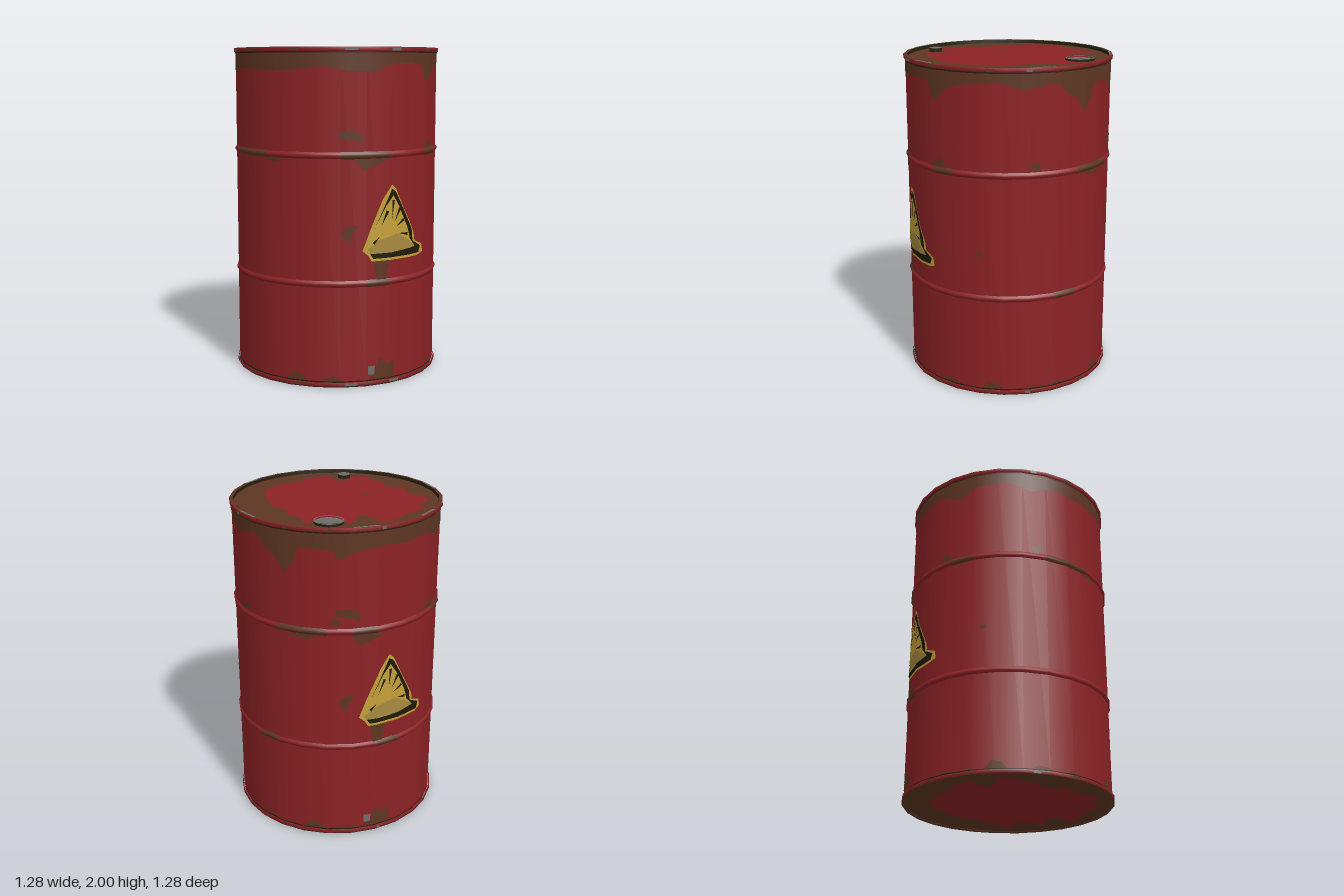
import * as THREE from 'three';

const SIDES = 26, STEP = (Math.PI * 2) / SIDES, PHI0 = THREE.MathUtils.degToRad(-3.1);
const R = 0.628;

const mat = (name, color, side = THREE.FrontSide) => {
  const m = new THREE.MeshStandardMaterial({ color, side });
  m.name = name;
  return m;
};

export function createModel() {
  const group = new THREE.Group();
  const red = mat('red paint', 0x8c2225);
  const rust = mat('rust', 0x5e3623);
  const dark = mat('dark grime', 0x26200d);
  const steel = mat('bare steel', 0x6e6c69);
  const yellow = mat('sign yellow', 0xc4a03a);
  const tan = mat('sign faded yellow', 0xa8893f);
  const black = mat('sign black', 0x1e190b);

  const add = (name, geo, material, x = 0, y = 0, z = 0) => {
    const m = new THREE.Mesh(geo, material);
    m.name = name;
    m.position.set(x, y, z);
    group.add(m);
    return m;
  };

  // Turned part; first and count choose a run of facets
  const turn = (name, profile, material, first = 0, count = SIDES) =>
    add(name, new THREE.LatheGeometry(profile.map(([r, y]) => new THREE.Vector2(r, y)),
      count, PHI0 + first * STEP, count * STEP), material);

  // Radius of the faceted wall at an angle
  const wall = (phi, r) => {
    const t = (((phi - PHI0) % STEP) + STEP) % STEP;
    return (r * Math.cos(STEP / 2)) / Math.cos(t - STEP / 2);
  };

  // Thin painted polygon wrapped on the wall, points are [degrees, y]
  const patch = (name, pts, material, lift = 0.002, r = R) => {
    const p = pts.map(([d, y]) => [THREE.MathUtils.degToRad(d), y]);
    const lo = Math.min(...p.map(q => q[0])), hi = Math.max(...p.map(q => q[0]));
    const cuts = p.map(q => q[0]);
    for (let k = Math.ceil((lo - PHI0) / STEP); PHI0 + k * STEP < hi; k++) cuts.push(PHI0 + k * STEP);
    cuts.sort((a, b) => a - b);
    const pos = [], nor = [], idx = [];
    const vert = (phi, y) => {
      const rr = wall(phi, r + lift);
      pos.push(rr * Math.sin(phi), y, rr * Math.cos(phi));
      nor.push(Math.sin(phi), 0, Math.cos(phi));
    };
    for (let i = 0; i + 1 < cuts.length; i++) {
      const a = cuts[i], b = cuts[i + 1];
      if (b - a < 1e-6) continue;
      const spans = [];
      p.forEach((s, j) => {
        const e = p[(j + 1) % p.length];
        if (Math.min(s[0], e[0]) > a + 1e-7 || Math.max(s[0], e[0]) < b - 1e-7) return;
        const at = u => s[1] + ((e[1] - s[1]) * (u - s[0])) / (e[0] - s[0]);
        spans.push([at(a), at(b)]);
      });
      spans.sort((s, t) => s[0] + s[1] - t[0] - t[1]);
      for (let k = 0; k + 1 < spans.length; k += 2) {
        const n = pos.length / 3, [l, u] = [spans[k], spans[k + 1]];
        vert(a, l[0]); vert(b, l[1]); vert(b, u[1]); vert(a, u[0]);
        idx.push(n, n + 1, n + 2, n, n + 2, n + 3);
      }
    }
    const g = new THREE.BufferGeometry();
    g.setAttribute('position', new THREE.Float32BufferAttribute(pos, 3));
    g.setAttribute('normal', new THREE.Float32BufferAttribute(nor, 3));
    g.setIndex(idx);
    return add(name, g, material, 0, 0, 0);
  };

  // Irregular spot on the wall
  const spot = (name, deg, y, w, h, material = rust) => {
    const pts = [];
    for (let i = 0; i < 10; i++) {
      const a = i * 0.628 + 0.1, k = 0.8 + 0.25 * Math.sin(i * 2.3 + deg);
      pts.push([deg + Math.cos(a) * w * k, y + Math.sin(a) * h * k]);
    }
    patch(name, pts, material);
  };

  // Drum wall, two raised ribs and the end rims
  turn('drumWall', [[R, 0.02], [R, 1.98]], red);
  const ribProfile = (y, o = 0) => [[R - 0.002 + o, y - 0.022], [0.636 + o, y - 0.009],
    [0.638 + o, y], [0.636 + o, y + 0.009], [R - 0.002 + o, y + 0.022]];
  for (const y of [0.625, 1.38]) turn('rib', ribProfile(y), red);
  [[1.38, -2, 2], [1.38, 2, 1], [1.38, 8, 2], [1.38, 11, 1], [1.38, 15, 1], [1.38, 19, 2],
    [0.625, -1, 1], [0.625, 7, 1], [0.625, 12, 1]]
    .forEach(([y, f, n]) => turn('ribRust', ribProfile(y, 0.0015), rust, f, n));

  const rims = [[0.008, 0.028], [1.975, 1.996]];
  for (const [a, b] of rims) {
    turn('rimSide', [[R, a - 0.003], [0.639, a], [0.639, b], [0.634, b + 0.002]], red);
    turn('rimSeam', a < 1 ? [[R + 0.003, b + 0.001], [R + 0.003, b + 0.009]]
      : [[R + 0.003, a - 0.01], [R + 0.003, a - 0.002]], dark);
    for (let i = 0; i < SIDES; i += 2) {
      const d = i * 13.85 + 4 * Math.sin(i * 5), w = 3 + 2 * Math.sin(i * 3);
      patch('rimWear', [[d - w, a + 0.002], [d + w, a + 0.002], [d + w, b - 0.002], [d - w, b - 0.002]],
        i % 3 ? rust : steel, 0.0015, 0.639);
    }
  }
  turn('topRimEdge', [[0.634, 1.998], [0.618, 1.998]], rust);
  turn('topRimInside', [[0.618, 1.998], [0.616, 1.976]], dark);
  turn('bottomRimEdge', [[0.612, 0.012], [0.616, 0], [0.632, 0], [0.639, 0.008]], rust);
  [1, 6, 11, 14, 18, 22].forEach(f => turn('topRimWear', [[0.634, 1.9985], [0.619, 1.9985]], steel, f, 1));

  // Rusty band running down from the top
  const drips = [[-180, 1.87], [-165, 1.89], [-150, 1.82], [-140, 1.88], [-122, 1.9], [-108, 1.84],
    [-98, 1.88], [-80, 1.87], [-64, 1.86], [-38, 1.89], [-27, 1.86], [-11, 1.86], [-6, 1.89], [3, 1.905],
    [18, 1.905], [23, 1.87], [23.5, 1.81], [27, 1.79], [31, 1.84], [37, 1.88], [51, 1.91], [66, 1.91],
    [76, 1.87], [91, 1.905], [97, 1.89], [102, 1.83], [107, 1.81], [113, 1.715], [118, 1.79], [121, 1.88],
    [138, 1.87], [142, 1.81], [151, 1.86], [168, 1.88], [180, 1.87]];
  patch('topRustBand', [...drips, [180, 1.975], [-180, 1.975]], rust);

  // Stains and hazard sign, once on the front and once on the back
  const X = x => THREE.MathUtils.radToDeg(Math.asin(x / R));
  for (const turnBy of [0, 172]) {
    const flat = (name, pts, m, lift) => patch(name, pts.map(([x, y]) => [X(x) + turnBy, y]), m, lift);
    flat('stain', [[-0.34, 1.48], [-0.22, 1.46], [-0.2, 1.43], [-0.21, 1.5], [-0.27, 1.525], [-0.33, 1.51]], rust);
    flat('ribStreak', [[-0.25, 1.36], [-0.2, 1.29], [-0.15, 1.31], [-0.1, 1.33], [-0.03, 1.36]], rust);
    flat('ribStain', [[0.22, 1.4], [0.34, 1.4], [0.33, 1.44], [0.3, 1.455], [0.27, 1.42]], rust);
    flat('signStain', [[-0.32, 0.93], [-0.28, 0.86], [-0.26, 0.92], [-0.23, 0.97], [-0.28, 0.97]], rust);
    flat('signStreak', [[-0.14, 0.77], [-0.12, 0.61], [-0.06, 0.61], [-0.05, 0.7], [-0.03, 0.77]], rust);
    flat('footStain', [[-0.17, 0.038], [0, 0.038], [0.01, 0.13], [-0.04, 0.12], [-0.1, 0.165], [-0.12, 0.08]], rust);
    flat('footChip', [[-0.17, 0.07], [-0.13, 0.065], [-0.125, 0.12], [-0.17, 0.12]], steel, 0.003);
    flat('signEdge', [[-0.02, 1.205], [0.01, 1.18], [0.07, 1.06], [0.16, 0.9], [0.17, 0.85], [0.24, 0.82],
      [0.25, 0.77], [0.2, 0.755], [-0.15, 0.755], [-0.17, 0.79], [-0.205, 0.82], [-0.16, 0.94], [-0.08, 1.12]], yellow, 0.003);
    flat('signBorder', [[-0.02, 1.18], [0.01, 1.16], [0.14, 0.92], [0.15, 0.85], [0.225, 0.81],
      [0.21, 0.77], [-0.14, 0.77], [-0.18, 0.83], [-0.13, 0.95]], black, 0.004);
    flat('signFace', [[-0.01, 1.14], [0.03, 1.08], [0.1, 0.94], [0.12, 0.87], [0.17, 0.815],
      [-0.02, 0.80], [-0.175, 0.81], [-0.19, 0.83], [-0.11, 0.99], [-0.06, 1.08]], yellow, 0.005);
    flat('signFade', [[-0.18, 0.825], [-0.1, 0.88], [0.02, 0.91], [0.11, 0.86], [0.17, 0.815], [-0.02, 0.8], [-0.16, 0.8]], tan, 0.006);
    // Worn strokes fanning out across the sign
    [[-0.09, 0.96, -0.05, 1.05], [-0.02, 1.0, -0.01, 1.11], [0.0, 0.98, 0.04, 1.06],
      [0.01, 0.95, 0.07, 0.99], [-0.1, 0.9, -0.14, 0.86], [0.03, 0.91, 0.1, 0.9]].forEach(([x, y, u, v]) => {
      const l = Math.hypot(u - x, v - y), dx = ((v - y) / l) * 0.009, dy = ((x - u) / l) * 0.009;
      flat('signStroke', [[x, y], [u + dx, v + dy], [u - dx, v - dy]], black, 0.007);
    });
  }
  [[83, 1.43, 4, 0.03], [122, 1.348, 9, 0.018], [53, 0.9, 2.5, 0.02], [62, 0.655, 2, 0.012],
    [140, 1.44, 3, 0.03], [225, 0.9, 2.5, 0.02], [255, 1.43, 4, 0.03], [291, 1.35, 7, 0.018]]
    .forEach(([d, y, w, h]) => spot('rustSpot', d, y, w, h));
  [35, 60, 84, 98, 128, 150, 205, 232, 256, 275, 305, 325].forEach((d, i) => {
    const h = 0.055 + 0.02 * Math.sin(i * 2);
    patch('footRust', [[d - 6, 0.036], [d + 6, 0.036], [d + 3, h], [d - 2, h + 0.01]], rust);
  });

  // Lid and base: rusty discs with the surviving paint in the middle (hundredths)
  const paint = [[-29, -45], [-25, -49], [-12, -49], [-1, -53], [9, -54], [11, -51], [7, -42], [10, -36],
    [16, -36], [21, -42], [28, -43], [24, -37], [28, -27], [35, -25], [45, -29], [44, -24], [40, -18], [41, -6],
    [37, 0], [38, 12], [35, 21], [31, 29], [24, 40], [19, 43], [11, 45], [4, 47], [-6, 44], [-15, 47],
    [-25, 45], [-32, 41], [-26, 38], [-26, 30], [-30, 28], [-37, 31], [-43, 33], [-48, 26], [-45, 16],
    [-47, 9], [-42, 4], [-43, -5], [-49, -9], [-43, -15], [-42, -22], [-45, -29], [-40, -38], [-30, -40]];
  const shape = new THREE.Shape(paint.map(([x, z]) => new THREE.Vector2(x / 100, -z / 100)));
  const disc = new THREE.CircleGeometry(0.618, SIDES, Math.PI / 2 - THREE.MathUtils.degToRad(3.1));
  const LID = 1.977;
  [[LID, -1, 'lid'], [0.01, 1, 'base']].forEach(([y, s, name]) => {
    add(name, disc, rust, 0, y, 0).rotation.x = (s * Math.PI) / 2;
    add(name + 'Paint', new THREE.ShapeGeometry(shape), red, 0, y - s * 0.002, 0).rotation.x = (s * Math.PI) / 2;
  });
  const lidMark = (name, geo, m, x, z, lift) => {
    const k = add(name, geo, m, x, LID + lift, z);
    k.rotation.x = -Math.PI / 2;
    return k;
  };
  lidMark('lidSpot', new THREE.CircleGeometry(0.026, 7), rust, -0.2, -0.05, 0.003);
  [[-0.3, -0.53, 0.5], [0.595, -0.14, -1.3], [0.56, 0.24, 1.2]].forEach(([x, z, a]) => {
    const g = new THREE.CircleGeometry(0.045, 10);
    g.scale(1, 0.3, 1);
    lidMark('lidGrime', g, dark, x, z, 0.003).rotation.z = a;
  });

  // Large filler bung with a small plug and grime
  const bx = 0.325, bz = -0.33;
  add('bungRing', new THREE.CylinderGeometry(0.087, 0.087, 0.014, 18, 1, true), dark, bx, LID + 0.007, bz);
  lidMark('bungRingTop', new THREE.RingGeometry(0.079, 0.087, 18), steel, bx, bz, 0.014);
  lidMark('bungFace', new THREE.CircleGeometry(0.08, 18), steel, bx, bz, 0.006);
  lidMark('bungGrime', new THREE.RingGeometry(0.056, 0.079, 10, 1, -0.1, 1.9), dark, bx, bz, 0.008);
  add('bungPlug', new THREE.CylinderGeometry(0.034, 0.034, 0.008, 12), steel, 0.352, LID + 0.01, -0.352);

  // Small vent cap
  add('ventCapSide', new THREE.CylinderGeometry(0.041, 0.041, 0.022, 10, 1, true), dark, -0.357, LID + 0.011, 0.352);
  lidMark('ventCapTop', new THREE.CircleGeometry(0.041, 10), steel, -0.357, 0.352, 0.023);

  return group;
}
